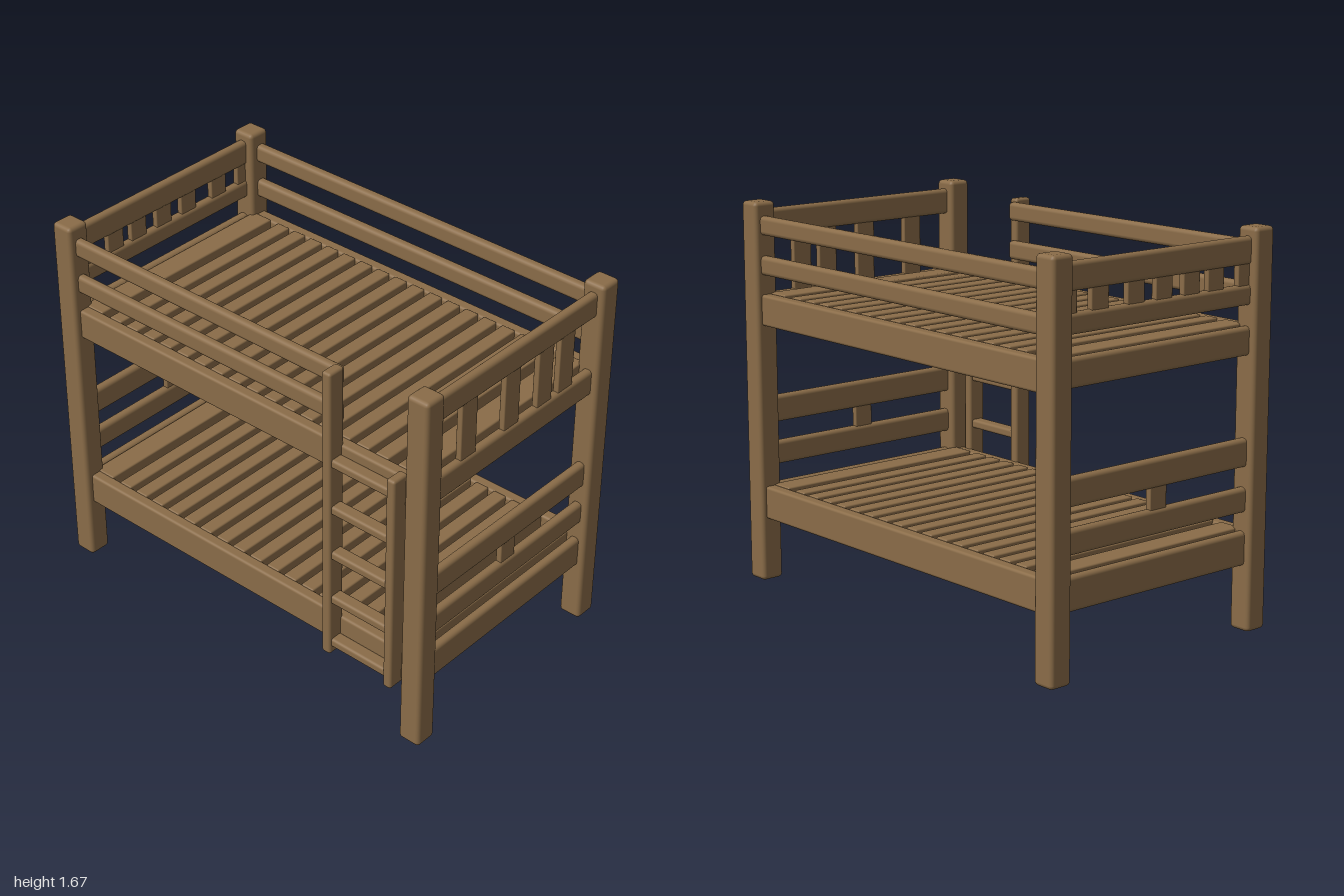
import * as THREE from 'three';
import { RoundedBoxGeometry } from 'three/addons/geometries/RoundedBoxGeometry.js';

export function createModel() {
  const model = new THREE.Group();
  model.name = 'bunkBed';
  const wood = new THREE.MeshStandardMaterial({ color: 0x8a6c48 });
  wood.name = 'brownWood';

  // Softly rounded timber given by its min/max on each axis
  function timber(name, [x0, x1], [y0, y1], [z0, z1], radius = 0.012) {
    const w = x1 - x0, h = y1 - y0, d = z1 - z0;
    const r = Math.min(radius, Math.min(w, h, d) * 0.45);
    const mesh = new THREE.Mesh(new RoundedBoxGeometry(w, h, d, 2, r), wood);
    mesh.position.set((x0 + x1) / 2, (y0 + y1) / 2, (z0 + z1) / 2);
    mesh.name = name;
    model.add(mesh);
  }

  const endSpan = [-0.49, 0.52];
  const ends = { front: [0.925, 0.968], back: [-0.968, -0.925] };

  // Corner posts
  for (const x of [[0.505, 0.61], [-0.575, -0.472]])
    for (const z of [[0.893, 0.997], [-0.997, -0.893]])
      timber('post', x, [0, 1.675], z, 0.018);

  // Rails of both end panels
  for (const [end, z] of Object.entries(ends)) {
    for (const y of [[0.28, 0.425], [0.505, 0.61], [0.695, 0.815], [1.155, 1.275], [1.525, 1.638]])
      timber(end + 'EndRail', endSpan, y, z, 0.018);
    const thin = [z[0] + 0.008, z[1] - 0.008];
    timber(end + 'LowerSpindle', [-0.03, 0.06], [0.6, 0.705], thin, 0.005);
  }

  // Tall spindles at the front, short ones above an extra rail at the back
  for (const x of [-0.275, -0.01, 0.2, 0.337])
    timber('frontSpindle', [x - 0.047, x + 0.047], [1.265, 1.535], [0.933, 0.96], 0.005);
  timber('backMiddleRail', endSpan, [1.36, 1.445], ends.back, 0.018);
  for (const x of [-0.455, -0.285, -0.15, 0, 0.15, 0.337, 0.5])
    timber('backSpindle', [x - 0.045, x + 0.045], [1.435, 1.535], [-0.96, -0.933], 0.005);

  // Side beams and guard rails; the right guard stops at the ladder
  for (const y of [[0.28, 0.425], [1.14, 1.275]]) {
    timber('leftBeam', [0.53, 0.586], y, [-0.91, 0.91]);
    timber('rightBeam', [-0.546, -0.492], y, [-0.91, 0.91]);
  }
  for (const y of [[1.36, 1.443], [1.533, 1.615]]) {
    timber('leftGuardRail', [0.54, 0.586], y, [-0.91, 0.91], 0.018);
    timber('rightGuardRail', [-0.546, -0.503], y, [-0.91, 0.54], 0.018);
  }

  // Deep slats of both bunks, with a wide one at each end
  for (const top of [0.43, 1.28]) {
    const y = [top - 0.12, top];
    for (let i = 0; i < 16; i++) {
      const z = -0.733 + i * 0.0967;
      timber('slat', [-0.5, 0.535], y, [z - 0.033, z + 0.033], 0.007);
    }
    timber('endSlat', [-0.5, 0.535], y, [0.797, 0.905], 0.007);
    timber('endSlat', [-0.5, 0.535], y, [-0.915, -0.81], 0.007);
  }

  // Ladder with evenly spaced rungs
  timber('ladderTallUpright', [-0.613, -0.53], [0.265, 1.63], [0.51, 0.555]);
  timber('ladderShortUpright', [-0.613, -0.53], [0.265, 1.29], [0.835, 0.877]);
  for (let i = 0; i < 5; i++) {
    const y = 0.322 + i * 0.223;
    timber('ladderRung', [-0.603, -0.543], [y - 0.02, y + 0.02], [0.545, 0.845]);
  }

  return model;
}
